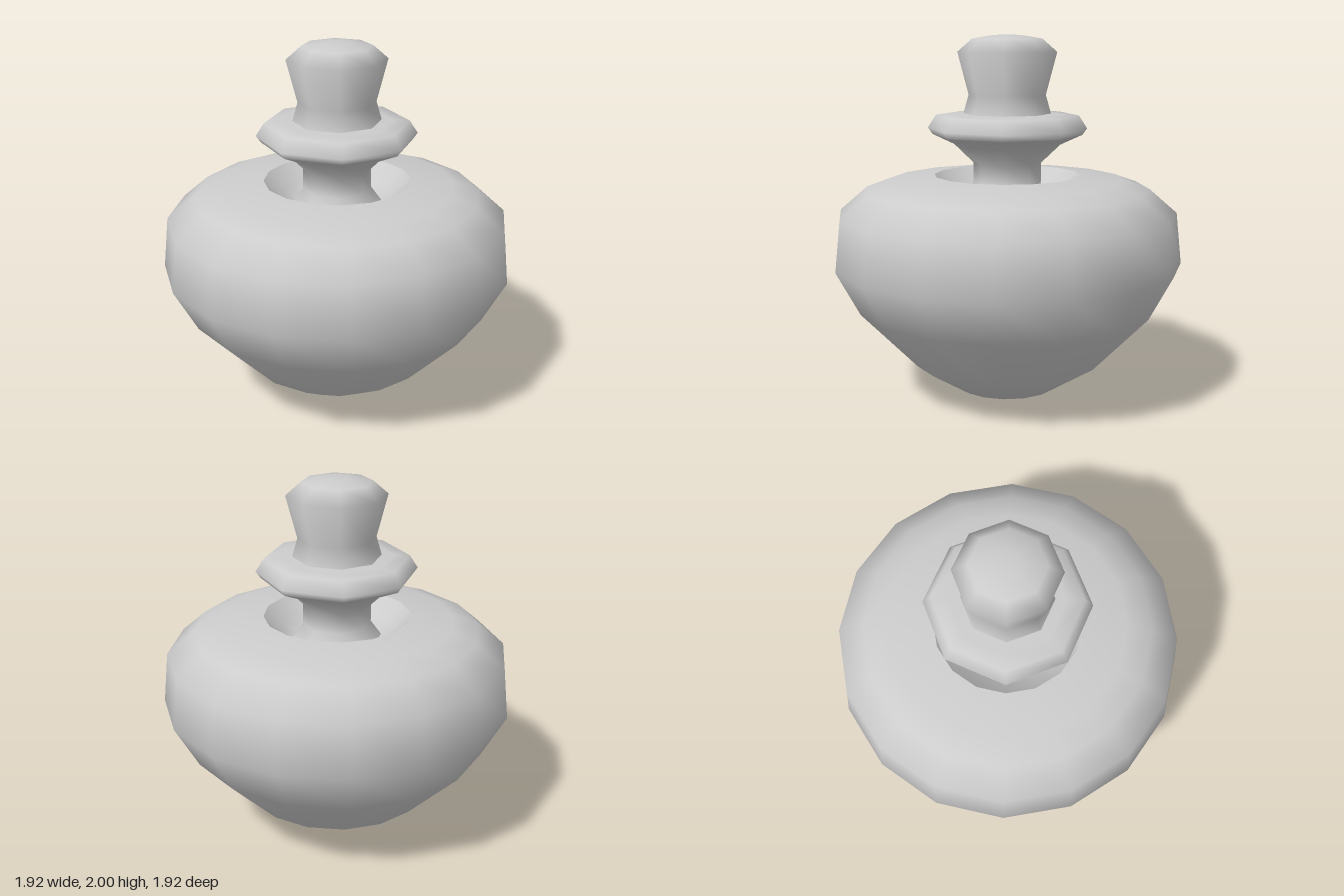
import * as THREE from 'three';

// Smooth low-poly part turned from a profile of [radius, height] points
function turned(name, sides, profile) {
  const points = profile.map(([r, y]) => new THREE.Vector2(r, y));
  const material = new THREE.MeshStandardMaterial({ color: 0xcccccc, side: THREE.DoubleSide });
  const mesh = new THREE.Mesh(new THREE.LatheGeometry(points, sides), material);
  mesh.name = name;
  return mesh;
}

export function createModel() {
  const bottle = new THREE.Group();
  bottle.name = 'bottle';

  // Bulbous body, ending at the rim of the shoulder
  bottle.add(turned('body', 16, [
    [0, 0], [0.28, 0.05], [0.52, 0.2], [0.83, 0.52], [0.96, 0.76],
    [0.93, 1.04], [0.78, 1.17], [0.64, 1.22], [0.4, 1.245],
  ]));

  // Sunken well around the foot of the neck
  bottle.add(turned('neckRecess', 16, [[0.4, 1.245], [0.3, 1.15], [0.22, 1.11], [0.12, 1.11]].reverse()
    .reverse()));

  // Narrow neck flaring out beneath the lip
  bottle.add(turned('neck', 8, [
    [0.25, 1.11], [0.185, 1.2], [0.185, 1.31], [0.29, 1.41], [0.41, 1.465],
  ]));

  // Lip with a bevelled edge
  bottle.add(turned('lip', 8, [
    [0.41, 1.465], [0.435, 1.5], [0.39, 1.57], [0.3, 1.575], [0.24, 1.58],
  ]));

  // Stopper with a waist and a domed top
  bottle.add(turned('stopper', 8, [
    [0.24, 1.575], [0.21, 1.68], [0.27, 1.91], [0.19, 1.98], [0.07, 2], [0, 2],
  ]));

  return bottle;
}
